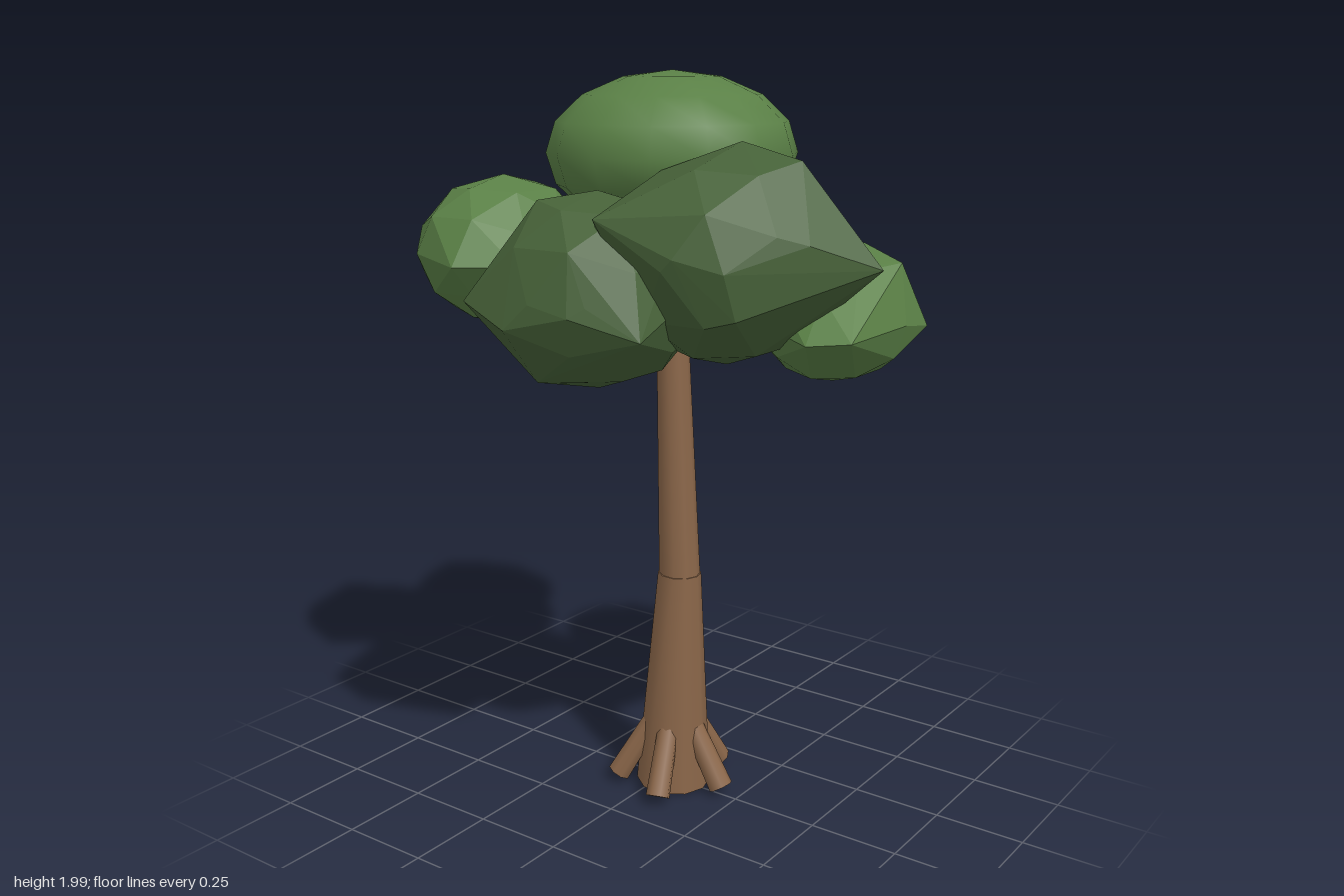
import * as THREE from 'three';
import { ConvexGeometry } from 'three/addons/geometries/ConvexGeometry.js';

export function createModel() {
  const tree = new THREE.Group();
  tree.name = 'tree';
  const mat = (name, color) => {
    const m = new THREE.MeshStandardMaterial({ color });
    m.name = name;
    return m;
  };
  const bark = mat('bark', 0x8a6649);
  const leaf = mat('leafGreen', 0x5a8046);
  const darkLeaf = mat('darkLeafGreen', 0x466138);

  const add = (name, geometry, material) => {
    const mesh = new THREE.Mesh(geometry, material);
    mesh.name = name;
    tree.add(mesh);
    return mesh;
  };

  // Tapered round limb running from a to b
  const limb = (name, a, b, r0, r1, sides) => {
    const from = new THREE.Vector3(...a), to = new THREE.Vector3(...b);
    const dir = to.clone().sub(from);
    const mesh = add(name, new THREE.CylinderGeometry(r1, r0, dir.length(), sides), bark);
    mesh.position.copy(from).add(to).multiplyScalar(0.5);
    mesh.quaternion.setFromUnitVectors(new THREE.Vector3(0, 1, 0), dir.normalize());
  };

  // Trunk in two slightly leaning sections
  limb('lowerTrunk', [0, 0.01, 0.035], [0, 0.645, 0.055], 0.105, 0.06, 10);
  limb('upperTrunk', [0, 0.64, 0.055], [0, 1.32, 0.03], 0.057, 0.043, 10);

  // Five splayed roots
  for (let i = 0; i < 5; i++) {
    const t = (i * Math.PI * 2) / 5, s = Math.sin(t), c = Math.cos(t);
    limb('root', [s * 0.16, 0.03, 0.04 + c * 0.16], [s * 0.065, 0.19, 0.04 + c * 0.065], 0.034, 0.03, 8);
  }

  // Faceted leaf clump: hull around a coarse ellipsoid core and a few outer corners, on its own branch
  const clump = (name, material, center, radii, corners) => {
    const core = new THREE.IcosahedronGeometry(1, 1).scale(...radii).translate(...center);
    const p = core.attributes.position;
    const points = corners.map((c) => new THREE.Vector3(...c));
    for (let i = 0; i < p.count; i++) points.push(new THREE.Vector3().fromBufferAttribute(p, i));
    add(name, new ConvexGeometry(points), material);
    limb('branch', [0, 1.29, 0.03], center, 0.032, 0.02, 8);
  };

  clump('backClump', leaf, [-0.1, 1.515, -0.47], [0.26, 0.205, 0.235], [
    [0.03, 1.53, -0.73], [0.14, 1.5, -0.64], [0.18, 1.5, -0.47], [0.05, 1.45, -0.25],
    [-0.29, 1.5, -0.26], [-0.39, 1.5, -0.4], [-0.2, 1.47, -0.63],
    [0, 1.36, -0.61], [0, 1.66, -0.67],
  ]);
  clump('backLeftClump', leaf, [0.33, 1.585, -0.265], [0.225, 0.215, 0.262], [
    [0.34, 1.6, -0.54], [0.49, 1.6, -0.53], [0.55, 1.54, -0.45], [0.56, 1.65, -0.27],
    [0.53, 1.57, -0.12], [0.33, 1.57, 0.02], [0.08, 1.58, -0.32], [0.16, 1.6, -0.46],
    [0.32, 1.81, -0.28], [0.38, 1.77, -0.44], [0.5, 1.72, -0.3],
  ]);
  clump('frontLeftClump', leaf, [0.38, 1.36, 0.285], [0.225, 0.17, 0.215], [
    [0.32, 1.38, 0.06], [0.43, 1.4, 0.07], [0.62, 1.37, 0.36], [0.6, 1.28, 0.33],
    [0.54, 1.35, 0.48], [0.31, 1.38, 0.51], [0.17, 1.27, 0.27],
    [0.4, 1.53, 0.27], [0.55, 1.48, 0.3], [0.53, 1.21, 0.3], [0.2, 1.5, 0.28],
  ]);
  clump('frontClump', leaf, [0.02, 1.405, 0.51], [0.21, 0.16, 0.198], [
    [-0.24, 1.38, 0.58], [-0.2, 1.39, 0.68], [0.13, 1.39, 0.71], [0.06, 1.55, 0.67],
    [0.22, 1.4, 0.64], [0.23, 1.46, 0.52], [0.18, 1.575, 0.5], [0.13, 1.45, 0.31],
    [0.13, 1.27, 0.52],
  ]);
  clump('frontRightClump', darkLeaf, [-0.19, 1.56, 0.33], [0.28, 0.26, 0.275], [
    [-0.15, 1.56, 0.73], [-0.18, 1.84, 0.36], [-0.17, 1.8, 0.52], [0.1, 1.68, 0.33],
    [0.1, 1.55, 0.33], [0.05, 1.52, 0.59], [-0.49, 1.67, 0.15], [-0.47, 1.59, 0.36],
    [-0.4, 1.45, 0.49], [-0.28, 1.62, 0.61],
  ]);
  clump('rightClump', darkLeaf, [-0.335, 1.475, 0.045], [0.27, 0.245, 0.265], [
    [-0.62, 1.41, -0.02], [-0.58, 1.46, -0.18], [-0.43, 1.45, -0.23], [-0.15, 1.5, -0.2],
    [-0.59, 1.45, 0.15], [-0.52, 1.4, 0.31], [-0.45, 1.7, -0.05],
    [-0.52, 1.27, 0], [-0.13, 1.27, 0],
  ]);

  // Smooth rounded crown on top
  const crown = new THREE.SphereGeometry(1, 14, 8);
  crown.scale(0.328, 0.208, 0.328);
  crown.translate(0, 1.792, 0.028);
  add('crown', crown, leaf);

  return tree;
}
